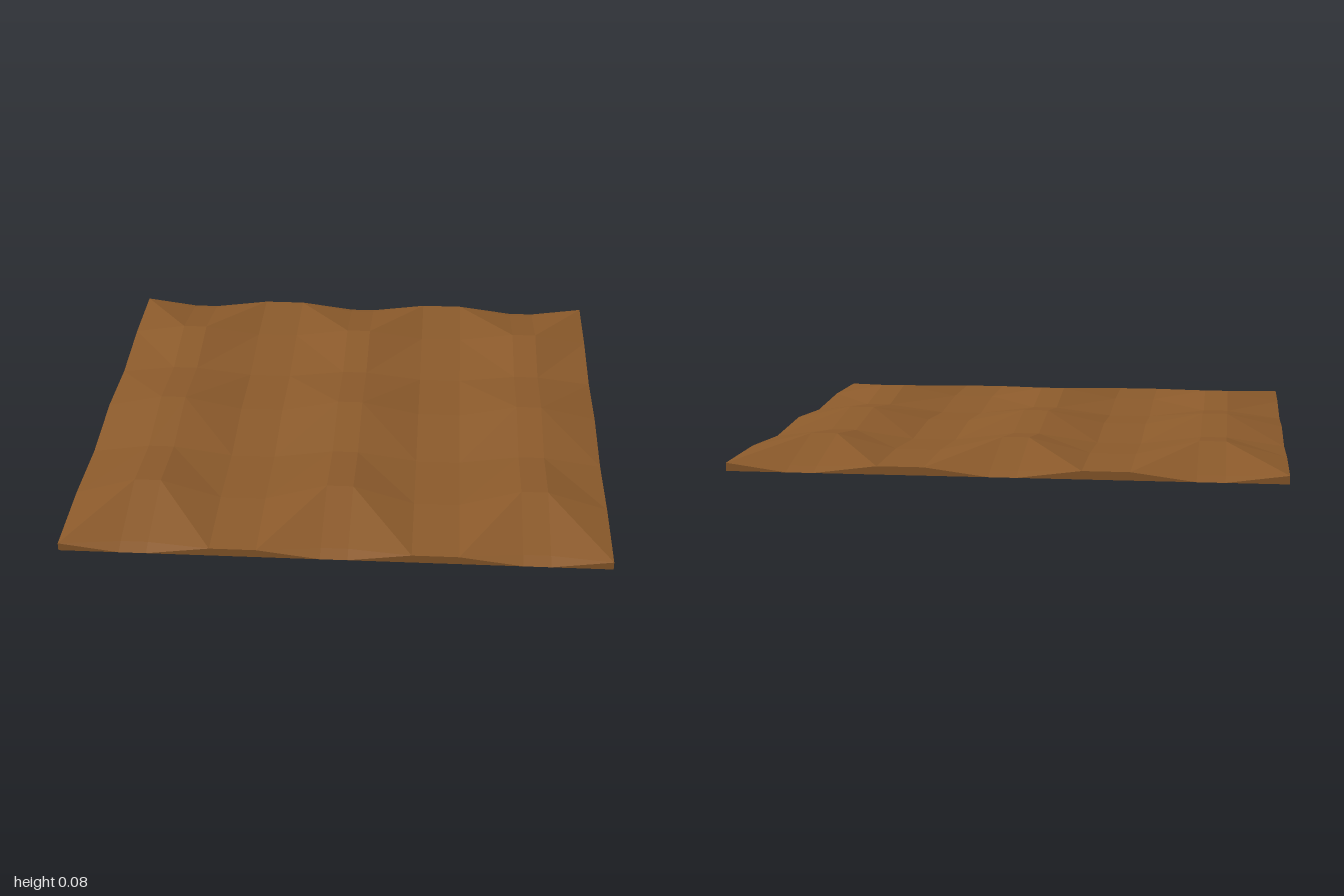
import * as THREE from 'three';

// Columns across the panel: 1 marks a ridge, 0 a valley
const COLS = [-1, -0.78, -0.68, -0.45, -0.28, -0.05, 0.05, 0.28, 0.45, 0.68, 0.78, 1];
const RIDGE = [0, 1, 1, 0, 0, 1, 1, 0, 0, 1, 1, 0];
// Rows along z: [z, height] for valley columns and for ridge columns
const VALLEY_HALF = [[0, 0.032], [0.33, 0.01], [0.665, 0.032], [1, 0.03]];
const RIDGE_HALF = [[0, 0.08], [0.325, 0.04], [0.635, 0.08], [0.95, 0.015]];

function mirrorRows(half) {
  return [...half.slice(1).reverse().map(([z, y]) => [-z, y]), ...half];
}

function createPanelGeometry() {
  const rows = [mirrorRows(VALLEY_HALF), mirrorRows(RIDGE_HALF)];
  const last = rows[0].length - 1;
  const end = COLS.length - 1;
  const positions = [];
  const top = (i, j) => {
    const [z, y] = rows[RIDGE[i]][j];
    return [COLS[i], y, z];
  };
  const base = (i, j) => {
    const z = j === 0 ? -1 : j === last ? 1 : top(i, j)[2];
    return [COLS[i], 0, z];
  };
  const tri = (...corners) => corners.forEach((p) => positions.push(...p));
  // Corners run counter-clockwise; the diagonal joins a and c, or b and d
  const quad = (a, b, c, d, swap = false) => {
    if (swap) {
      tri(a, b, d);
      tri(b, c, d);
    } else {
      tri(a, b, c);
      tri(a, c, d);
    }
  };

  // Rippled upper surface
  for (let i = 0; i < end; i++) {
    for (let j = 0; j < last; j++) {
      const rising = RIDGE[i + 1] >= RIDGE[i];
      const swap = j < last / 2 ? !rising : rising;
      quad(top(i, j), top(i, j + 1), top(i + 1, j + 1), top(i + 1, j), swap);
    }
    // Front and back edges, drawn in under each ridge
    const rising = RIDGE[i + 1] > RIDGE[i];
    quad(base(i, last), base(i + 1, last), top(i + 1, last), top(i, last), rising);
    quad(base(i + 1, 0), base(i, 0), top(i, 0), top(i + 1, 0), !rising);
  }

  // Side edges
  for (let j = 0; j < last; j++) {
    quad(base(end, j + 1), base(end, j), top(end, j), top(end, j + 1));
    quad(base(0, j), base(0, j + 1), top(0, j + 1), top(0, j));
  }

  // Flat underside
  quad([-1, 0, -1], [1, 0, -1], [1, 0, 1], [-1, 0, 1]);

  const geometry = new THREE.BufferGeometry();
  geometry.setAttribute('position', new THREE.Float32BufferAttribute(positions, 3));
  geometry.computeVertexNormals();
  return geometry;
}

export function createModel() {
  const group = new THREE.Group();
  group.name = 'rippledGround';
  const material = new THREE.MeshStandardMaterial({
    color: 0x8b5a2b,
    flatShading: true,
    side: THREE.DoubleSide,
  });
  const panel = new THREE.Mesh(createPanelGeometry(), material);
  panel.name = 'rippledPanel';
  group.add(panel);
  return group;
}
